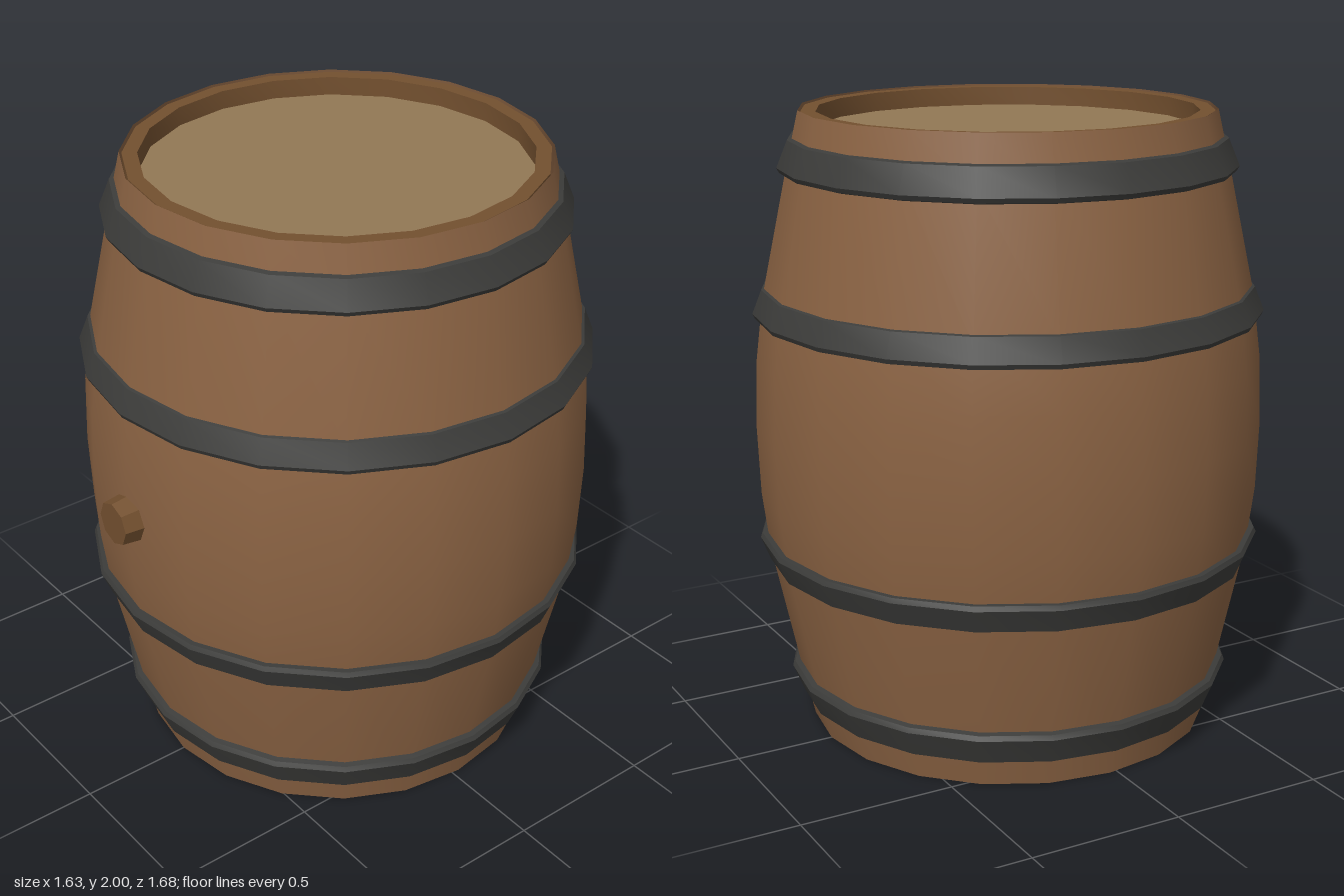
import * as THREE from 'three';
import { toCreasedNormals } from 'three/addons/utils/BufferGeometryUtils.js';

const SIDES = 20;
const AXIS_Z = -0.025;

const paint = (color) => new THREE.MeshStandardMaterial({ color, side: THREE.DoubleSide });

// Revolve [radius, height] pairs around the barrel axis
function turned(name, profile, material, crease = 0.6) {
  const points = profile.map(([r, y]) => new THREE.Vector2(r, y));
  const geometry = toCreasedNormals(new THREE.LatheGeometry(points, SIDES), crease);
  const mesh = new THREE.Mesh(geometry, material);
  mesh.name = name;
  return mesh;
}

export function createModel() {
  const model = new THREE.Group();
  model.name = 'barrel';
  const wood = paint(0x8b6343);
  const darkWood = paint(0x73502f);
  const lidWood = paint(0x927855);
  const iron = paint(0x3c3c3a);

  const barrel = new THREE.Group();
  barrel.name = 'cask';
  barrel.position.z = AXIS_Z;
  model.add(barrel);

  // Bulging stave wall, open at the bottom, mirrored about mid height
  const half = [[0.655, 0], [0.69, 0.15], [0.782, 0.58], [0.807, 0.78]];
  const mirrored = half.map(([r, y]) => [r, 2 - y]).reverse();
  barrel.add(turned('staves', [...half, [0.815, 1], ...mirrored], wood));

  // Rim around the recessed lid
  barrel.add(turned('rim', [[0.6, 1.93], [0.6, 1.995], [0.647, 1.995], [0.647, 1.93]].reverse(), darkWood));

  // Recessed lid
  const lid = new THREE.Mesh(new THREE.CircleGeometry(0.602, SIDES), lidWood);
  lid.name = 'lid';
  lid.rotation.x = -Math.PI / 2;
  lid.position.y = 1.935;
  barrel.add(lid);

  // Iron hoops: wide edge towards the middle of the barrel, each with a twin above
  const hoops = {
    endHoop: [[0.675, 0.085], [0.69, 0.09], [0.725, 0.175], [0.717, 0.19], [0.698, 0.195]],
    middleHoop: [[0.772, 0.55], [0.785, 0.555], [0.815, 0.63], [0.808, 0.645], [0.788, 0.645]],
  };
  for (const [name, profile] of Object.entries(hoops)) {
    const flipped = profile.map(([r, y]) => [r, 2 - y]).reverse();
    barrel.add(turned(name + 'Lower', profile, iron), turned(name + 'Upper', flipped, iron));
  }

  // Tapered octagonal bung on the front
  const bungGeometry = new THREE.CylinderGeometry(0.071, 0.081, 0.09, 8).rotateX(Math.PI / 2);
  const bung = new THREE.Mesh(toCreasedNormals(bungGeometry, 0.5), darkWood);
  bung.name = 'bung';
  bung.position.set(0, 1, 0.795);
  model.add(bung);

  return model;
}
